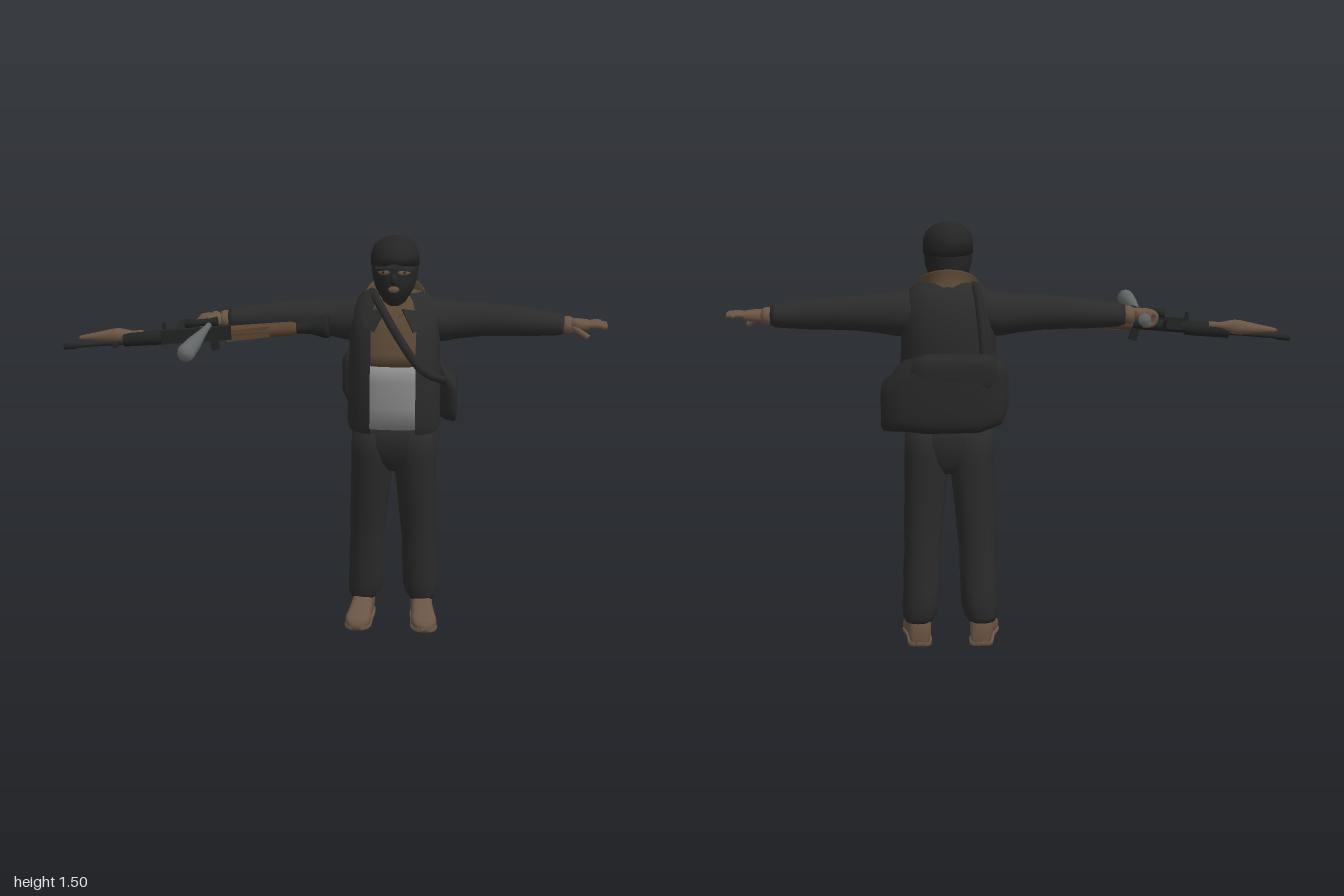
import * as THREE from 'three';

const CX = 0.225; // middle line of the figure
const mat = (name, color, side = THREE.FrontSide) => {
  const m = new THREE.MeshStandardMaterial({ color, side });
  m.name = name;
  return m;
};

// Skin of elliptical rings [t, u, v, ru, rv, tilt] along an axis.
// axis y: (t,u,v) = (y,x,z); axis x: (x,z,y); axis z: (z,y,x). gap opens the side facing +v.
function loft(axis, rings, { p = 2, seg = 28, gap = 0, caps = true } = {}) {
  rings = [...rings].sort((a, b) => a[0] - b[0]);
  const pos = [], idx = [];
  const put = (t, u, v) => {
    if (axis === 'y') pos.push(u, t, v);
    else if (axis === 'x') pos.push(t, v, u);
    else pos.push(v, u, t);
  };
  const pw = (c) => Math.sign(c) * Math.abs(c) ** (2 / p);
  const cols = gap ? seg + 1 : seg;
  for (const [t, u, v, ru, rv, tilt = 0] of rings)
    for (let j = 0; j < cols; j++) {
      const a = Math.PI / 2 + gap + (j / seg) * (Math.PI * 2 - gap * 2);
      const dv = rv * pw(Math.sin(a));
      put(t + tilt * dv, u + ru * pw(Math.cos(a)), v + dv);
    }
  for (let i = 0; i < rings.length - 1; i++)
    for (let j = 0; j < seg; j++) {
      const k = (j + 1) % cols, a = i * cols + j, b = i * cols + k;
      idx.push(a, a + cols, b, b, a + cols, b + cols);
    }
  if (caps && !gap) {
    const n = rings.length * cols, last = n - cols;
    const f = rings[0], l = rings[rings.length - 1];
    put(f[0], f[1], f[2]);
    put(l[0], l[1], l[2]);
    for (let j = 0; j < seg; j++) {
      const k = (j + 1) % seg;
      idx.push(n, j, k, n + 1, last + k, last + j);
    }
  }
  const g = new THREE.BufferGeometry();
  g.setAttribute('position', new THREE.Float32BufferAttribute(pos, 3));
  g.setIndex(idx);
  g.computeVertexNormals();
  return g;
}

const V = (x, y, z) => new THREE.Vector3(x, y, z);
const tube = (r, ...pts) =>
  new THREE.TubeGeometry(new THREE.CatmullRomCurve3(pts.map((q) => V(...q))), 28, r, 8);
const lathe = (pts, seg = 18) => new THREE.LatheGeometry(pts.map((q) => new THREE.Vector2(...q)), seg);
// Profile [radius, x] turned about the x axis
const turnX = (pts) => lathe(pts).rotateZ(-Math.PI / 2);

export function createModel() {
  const root = new THREE.Group();
  root.name = 'maskedFigure';
  const D = THREE.DoubleSide;
  const jacketM = mat('jacketBlack', 0x2b2b2b, D), trouserM = mat('trouserBlack', 0x2a2a2a);
  const maskM = mat('maskBlack', 0x252525), bagM = mat('bagBlack', 0x282828);
  const leatherM = mat('leatherBrown', 0x6a5544), clothM = mat('clothBrown', 0x5c4936, D);
  const greyM = mat('shirtGrey', 0x8c8c8c), batM = mat('batMetal', 0x646868);
  const gunM = mat('gunMetal', 0x222323), woodM = mat('wood', 0x5a4431);
  const add = (name, geo, m, parent = root) => {
    const mesh = new THREE.Mesh(geo, m);
    mesh.name = name;
    parent.add(mesh);
    return mesh;
  };

  // Open jacket over a two-tone shirt
  const torso = [
    [0.78, CX, -0.165, 0.165, 0.12], [0.81, CX, -0.163, 0.173, 0.134], [0.88, CX, -0.163, 0.17, 0.14],
    [0.98, CX, -0.165, 0.172, 0.153], [1.08, CX, -0.178, 0.166, 0.153], [1.17, CX, -0.185, 0.17, 0.142],
    [1.235, CX, -0.19, 0.16, 0.118], [1.27, CX, -0.195, 0.135, 0.09], [1.295, CX, -0.19, 0.1, 0.07],
  ];
  add('jacket', loft('y', torso, { p: 2.5, gap: 0.42, seg: 40 }), jacketM);
  const inner = (y) => {
    const i = Math.max(1, torso.findIndex((r) => r[0] >= y)), a = torso[i - 1], b = torso[i];
    const k = (y - a[0]) / (b[0] - a[0]);
    const r = a.map((q, n) => q + (b[n] - q) * k);
    return [y, CX, r[2], r[3] * 0.94, r[4] * 0.94];
  };
  add('shirtLower', loft('y', [0.8, 0.88, 0.98, 1.04].map(inner), { p: 2.5 }), greyM);
  add('shirtUpper', loft('y', [1.04, 1.08, 1.17, 1.235, 1.27, 1.29].map(inner), { p: 2.5 }), clothM);
  for (const s of [1, -1]) {
    const lapel = new THREE.Shape([[0.03, 0.0], [0.125, -0.02], [0.1, -0.075], [0.06, -0.09]]
      .map(([x, y]) => new THREE.Vector2(x * s, y)));
    const g = new THREE.ExtrudeGeometry(lapel, { depth: 0.008, bevelEnabled: false });
    g.rotateX(-0.45).rotateY(s * 0.4);
    const m = add('jacketLapel', g, jacketM);
    m.position.set(CX, 1.245, -0.06);
  }
  add('scarfCollar', loft('y', [
    [1.235, CX, -0.17, 0.1, 0.105, -0.45], [1.265, CX, -0.168, 0.092, 0.095, -0.55],
    [1.288, CX, -0.168, 0.105, 0.098, -0.55], [1.28, CX, -0.168, 0.112, 0.104, -0.55],
  ], { gap: 0.18 }), clothM);

  // Trousers, shoes, sleeves, gloves
  add('trouserSeat', loft('y', [
    [0.62, CX, -0.185, 0.05, 0.06], [0.66, CX, -0.182, 0.12, 0.092],
    [0.72, CX, -0.177, 0.155, 0.108], [0.81, CX, -0.172, 0.16, 0.115],
  ], { p: 2.3 }), trouserM);
  for (const s of [1, -1]) {
    const side = s > 0 ? 'left' : 'right';
    add(side + 'TrouserLeg', loft('y', [
      [0.085, CX + s * 0.113, -0.232, 0.048, 0.06], [0.105, CX + s * 0.11, -0.232, 0.06, 0.068],
      [0.15, CX + s * 0.105, -0.23, 0.066, 0.076], [0.2, CX + s * 0.102, -0.226, 0.065, 0.075],
      [0.27, CX + s * 0.101, -0.218, 0.067, 0.075], [0.34, CX + s * 0.098, -0.212, 0.064, 0.076],
      [0.4, CX + s * 0.095, -0.207, 0.069, 0.078], [0.5, CX + s * 0.09, -0.195, 0.072, 0.088],
      [0.6, CX + s * 0.083, -0.187, 0.077, 0.097], [0.68, CX + s * 0.08, -0.18, 0.079, 0.103],
      [0.78, CX + s * 0.077, -0.174, 0.08, 0.108],
    ], { p: 2.2 }), trouserM);

    // Shoe: [z, height, half width, outward shift]
    const shoe = [[-0.285, 0.085, 0.025, 0.108], [-0.278, 0.105, 0.038, 0.109], [-0.22, 0.11, 0.042, 0.112],
      [-0.175, 0.1, 0.041, 0.116], [-0.14, 0.075, 0.045, 0.121], [-0.1, 0.058, 0.049, 0.126],
      [-0.07, 0.046, 0.04, 0.128], [-0.057, 0.03, 0.02, 0.129]];
    add(side + 'Shoe', loft('z', shoe.map(([z, h, w, o]) => [z, h / 2, CX + s * o, h / 2, w]), { p: 2.8 }), leatherM);
    add(side + 'Sole', loft('z', shoe.map(([z, , w, o]) => [z, 0.008, CX + s * o, 0.008, w + 0.003]), { p: 5 }), leatherM);

    // Sleeve: [distance from middle, z, y, half depth, half height]
    add(side + 'Sleeve', loft('x', [
      [0.06, -0.195, 1.19, 0.08, 0.07], [0.13, -0.198, 1.187, 0.088, 0.082], [0.18, -0.202, 1.182, 0.078, 0.077],
      [0.24, -0.205, 1.184, 0.064, 0.068], [0.32, -0.205, 1.187, 0.058, 0.062], [0.4, -0.203, 1.186, 0.056, 0.058],
      [0.48, -0.2, 1.182, 0.05, 0.053], [0.56, -0.196, 1.178, 0.047, 0.045], [0.6, -0.193, 1.177, 0.045, 0.041],
      [0.618, -0.191, 1.176, 0.037, 0.034],
    ].map(([d, ...r]) => [CX + s * d, ...r])), jacketM);
    add(side + 'Cuff', loft('x', [[0.6, 1], [0.635, 1.05], [0.65, 0.85]].map(([d, k]) =>
      [CX + s * d, -0.19, 1.175, 0.036 * k, 0.031 * k])), leatherM);
    add(side + 'Palm', loft('x', [[0.64, 0.026, 0.022], [0.67, 0.038, 0.022], [0.705, 0.04, 0.018], [0.715, 0.034, 0.01]]
      .map(([d, rz, ry]) => [CX + s * d, -0.185, 1.177, rz, ry]), { p: 2.5 }), leatherM);
    for (let i = 0; i < 4; i++) {
      const z = -0.213 + i * 0.02, k = (i - 1.5) * 0.007;
      const path = s > 0
        ? [[CX + 0.7, 1.178, z], [CX + 0.735, 1.182, z + k], [CX + (i === 0 ? 0.752 : 0.772), 1.178, z + 2 * k]]
        : [[CX - 0.69, 1.187, z], [CX - 0.725, 1.175, z], [CX - 0.715, 1.145, z], [CX - 0.68, 1.14, z]];
      add(side + 'Finger', tube(0.0095, ...path), leatherM);
    }
    add(side + 'Thumb', tube(0.011, [CX + s * 0.65, 1.17, -0.165], [CX + s * 0.68, 1.155, -0.14],
      [CX + s * 0.705, 1.14, -0.13]), leatherM);
  }

  // Masked head with cap
  add('maskedHead', loft('y', [
    [1.2, CX, -0.175, 0.06, 0.06], [1.262, CX, -0.155, 0.05, 0.065], [1.275, CX, -0.135, 0.046, 0.075],
    [1.31, CX, -0.135, 0.068, 0.09], [1.35, CX, -0.138, 0.081, 0.099], [1.4, CX, -0.142, 0.086, 0.1],
    [1.44, CX, -0.144, 0.083, 0.096], [1.47, CX, -0.146, 0.06, 0.07],
  ]), maskM);
  add('cap', loft('y', [
    [1.395, CX, -0.144, 0.088, 0.102, 0.12], [1.435, CX, -0.145, 0.088, 0.1], [1.465, CX, -0.147, 0.077, 0.088],
    [1.487, CX, -0.148, 0.053, 0.062], [1.498, CX, -0.148, 0.022, 0.028],
  ]), maskM);
  const brim = new THREE.CylinderGeometry(0.07, 0.072, 0.007, 28);
  const bp = brim.attributes.position;
  for (let i = 0; i < bp.count; i++) bp.setY(i, bp.getY(i) - 4 * bp.getX(i) ** 2);
  brim.computeVertexNormals();
  const brimMesh = add('capBrim', brim, maskM);
  brimMesh.position.set(CX, 1.412, -0.066);
  brimMesh.rotation.x = 0.12;
  add('nose', new THREE.SphereGeometry(0.016, 12, 8).scale(0.8, 1.4, 1), maskM).position.set(CX, 1.358, -0.038);
  for (const s of [1, -1]) {
    const eye = add('eyeOpening', new THREE.SphereGeometry(1, 14, 8).scale(0.024, 0.01, 0.005), leatherM);
    eye.position.set(CX + s * 0.037, 1.383, -0.05);
    eye.rotation.y = s * 0.4;
    add('eye', new THREE.SphereGeometry(0.006, 10, 8), gunM).position.set(CX + s * 0.037, 1.383, -0.049);
  }
  add('mouthOpening', new THREE.SphereGeometry(1, 14, 8).scale(0.02, 0.012, 0.005), leatherM)
    .position.set(CX, 1.322, -0.043);

  // Shoulder bag slung across the back
  add('bag', loft('x', [
    [0.02, -0.34, 0.94, 0.025, 0.06], [0.045, -0.352, 0.93, 0.055, 0.11], [0.12, -0.362, 0.925, 0.06, 0.132],
    [0.3, -0.36, 0.923, 0.062, 0.134], [0.38, -0.335, 0.915, 0.078, 0.12], [0.42, -0.295, 0.885, 0.1, 0.095],
    [0.45, -0.275, 0.875, 0.095, 0.084], [0.458, -0.27, 0.87, 0.08, 0.07],
  ], { p: 4 }), bagM);
  add('bagFlap', loft('x', [[0.06, 0.048, 0.05], [0.09, 0.06, 0.064], [0.3, 0.06, 0.064], [0.35, 0.05, 0.05]]
    .map(([x, rz, ry]) => [x, -0.362, 0.997, rz, ry]), { p: 3.5 }), bagM);
  add('strapFront', tube(0.016, [0.14, 1.285, -0.19], [0.17, 1.262, -0.09], [0.25, 1.14, -0.034],
    [0.33, 1.03, -0.035], [0.39, 0.985, -0.1], [0.405, 0.955, -0.2], [0.4, 0.93, -0.28]), bagM);
  add('strapBack', tube(0.015, [0.14, 1.285, -0.19], [0.125, 1.268, -0.28], [0.11, 1.15, -0.328],
    [0.1, 1.02, -0.35]), bagM);

  // Bat held in the right fist
  const bat = add('bat', lathe([[0, -0.275], [0.022, -0.273], [0.022, -0.262], [0.011, -0.25], [0.011, -0.05],
    [0.018, 0.1], [0.027, 0.25], [0.031, 0.39], [0.027, 0.415], [0, 0.42]], 20).rotateX(Math.PI / 2), batM);
  bat.position.set(-0.455, 1.17, 0);
  bat.rotation.x = -0.015;

  // Launcher and rifle carried alongside the right arm
  const arms = new THREE.Group();
  arms.name = 'launcherAndRifle';
  arms.position.set(-0.5, 1.13, -0.107);
  arms.rotation.z = 0.085;
  root.add(arms);
  add('launcherTube', turnX([[0, -0.25], [0.02, -0.25], [0.02, 0.38], [0.024, 0.42], [0.042, 0.47],
    [0.042, 0.49], [0.03, 0.48], [0, 0.46]]), gunM, arms);
  add('launcherHeatShield', turnX([[0.02, 0.07], [0.026, 0.09], [0.026, 0.35], [0.02, 0.37]]), woodM, arms);
  add('warhead', turnX([[0, -0.45], [0.008, -0.44], [0.026, -0.31], [0.026, -0.29], [0.013, -0.24], [0.013, -0.2]]),
    leatherM, arms).position.set(0, 0.017, -0.01);
  add('rifleBarrel', turnX([[0, -0.502], [0.011, -0.5], [0.011, -0.46], [0.007, -0.45], [0.007, -0.1]]),
    gunM, arms).position.set(0, -0.008, 0.014);
  add('rifleHandguard', turnX([[0, -0.28], [0.025, -0.275], [0.027, -0.12], [0, -0.11]]), gunM, arms);
  const box = (name, m, size, at, rz = 0, rx = 0) => {
    const b = add(name, new THREE.BoxGeometry(...size), m, arms);
    b.position.set(...at);
    b.rotation.set(rx, 0, rz);
  };
  box('rifleReceiver', gunM, [0.26, 0.05, 0.036], [0.0, 0.005, 0.015]);
  box('rifleStock', woodM, [0.16, 0.04, 0.026], [0.19, -0.005, 0.012], 0.05);
  box('magazine', gunM, [0.055, 0.03, 0.1], [-0.06, 0.012, -0.09], 0, 0.15);
  box('launcherGrip', gunM, [0.028, 0.06, 0.022], [0.06, -0.03, 0.0], 0.2);
  box('frontSight', gunM, [0.016, 0.014, 0.045], [-0.3, -0.01, 0.035]);
  box('sightPost', gunM, [0.012, 0.04, 0.012], [-0.12, 0.035, 0.0]);
  add('scope', turnX([[0, -0.05], [0.018, -0.05], [0.013, -0.01], [0.013, 0.04], [0.019, 0.07], [0, 0.07]]),
    gunM, arms).position.set(0.01, 0.045, 0.0);
  return root;
}
